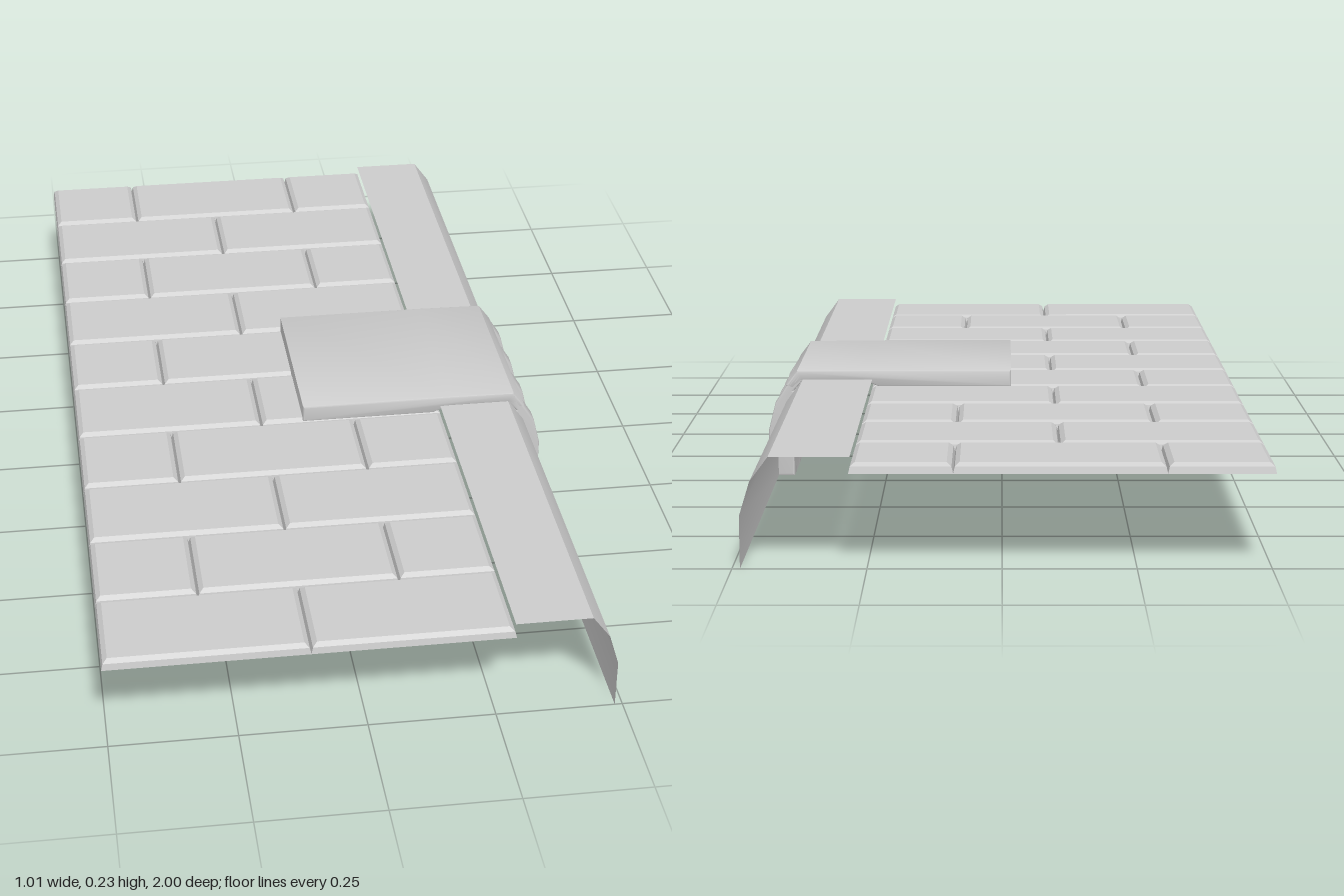
import * as THREE from 'three';
import { toCreasedNormals } from 'three/addons/utils/BufferGeometryUtils.js';

const material = new THREE.MeshStandardMaterial({ color: 0xcccccc, side: THREE.DoubleSide });

function addMesh(parent, name, geometry) {
  const mesh = new THREE.Mesh(geometry, material);
  mesh.name = name;
  parent.add(mesh);
  return mesh;
}

// Open-bottomed paving slab: stacked rectangles [inset, y] closed by a flat top
function slabGeometry(x0, x1, z0, z1) {
  const rings = [[0, 0.18], [0.003, 0.193], [0.012, 0.2]];
  const positions = [];
  const index = [];
  for (const [d, y] of rings) {
    positions.push(x0 + d, y, z1 - d, x1 - d, y, z1 - d, x1 - d, y, z0 + d, x0 + d, y, z0 + d);
  }
  for (let r = 0; r < rings.length - 1; r++) {
    for (let i = 0; i < 4; i++) {
      const a = r * 4 + i, b = r * 4 + (i + 1) % 4;
      index.push(a, b, b + 4, a, b + 4, a + 4);
    }
  }
  const t = (rings.length - 1) * 4;
  index.push(t, t + 1, t + 2, t, t + 2, t + 3);
  const geometry = new THREE.BufferGeometry();
  geometry.setAttribute('position', new THREE.Float32BufferAttribute(positions, 3));
  geometry.setIndex(index);
  return toCreasedNormals(geometry, 0.3);
}

// Thin sheet following an xy profile from z0 to z1
function sheetGeometry(profile, z0, z1) {
  const positions = [];
  const index = [];
  profile.forEach(([x, y], i) => {
    positions.push(x, y, z0, x, y, z1);
    if (i > 0) {
      const a = i * 2 - 2;
      index.push(a, a + 1, a + 3, a, a + 3, a + 2);
    }
  });
  const geometry = new THREE.BufferGeometry();
  geometry.setAttribute('position', new THREE.Float32BufferAttribute(positions, 3));
  geometry.setIndex(index);
  return toCreasedNormals(geometry, 0.6);
}

// Solid xy outline with slightly bevelled sides, from z0 to z1
function solidGeometry(outline, z0, z1, bevel) {
  const shape = new THREE.Shape(outline.map(([x, y]) => new THREE.Vector2(x, y)));
  const geometry = new THREE.ExtrudeGeometry(shape, {
    depth: z1 - z0 - 2 * bevel,
    bevelEnabled: bevel > 0,
    bevelThickness: bevel,
    bevelSize: bevel,
    bevelOffset: -bevel,
    bevelSegments: 2,
  });
  geometry.translate(0, 0, z0 + bevel);
  return toCreasedNormals(geometry, 0.5);
}

export function createModel() {
  const model = new THREE.Group();
  model.name = 'pavementWithDrain';

  // Pavement in running bond
  const pavement = new THREE.Group();
  pavement.name = 'pavement';
  model.add(pavement);
  for (let row = 0; row < 10; row++) {
    const z = -1 + row * 0.2;
    const joints = row % 2 ? [-0.505, -0.11, 0.283] : [-0.505, -0.305, 0.09, 0.283];
    for (let i = 0; i < joints.length - 1; i++) {
      addMesh(pavement, 'pavingSlab', slabGeometry(joints[i], joints[i + 1], z, z + 0.2));
    }
  }

  // Kerb on both sides of the drain
  const kerb = [[0.28, 0.212], [0.43, 0.212], [0.465, 0.165], [0.485, 0.1], [0.485, 0]];
  addMesh(model, 'kerbBack', sheetGeometry(kerb, -1, -0.195));
  addMesh(model, 'kerbFront', sheetGeometry(kerb, 0.195, 1));

  // Drain cover plate
  const drain = new THREE.Group();
  drain.name = 'drain';
  model.add(drain);
  const cover = [
    [-0.02, 0.196], [0.265, 0.196], [0.3, 0.21], [0.43, 0.21], [0.452, 0.19],
    [0.467, 0.198], [0.442, 0.231], [0.3, 0.233], [-0.02, 0.233],
  ];
  addMesh(drain, 'drainCover', solidGeometry(cover, -0.2, 0.2, 0.004));

  // Bars between the inlets
  const bar = [
    [0.45, 0], [0.505, 0], [0.505, 0.1], [0.49, 0.16], [0.46, 0.206],
    [0.442, 0.231], [0.43, 0.21], [0.45, 0.187], [0.42, 0.17], [0.45, 0.1],
  ];
  for (const z of [-0.18, -0.06, 0.06, 0.18]) {
    addMesh(drain, 'drainBar', solidGeometry(bar, z - 0.02, z + 0.02, 0.004));
  }

  // Recessed back of each inlet
  const recess = [[0.46, 0.195], [0.42, 0.17], [0.45, 0.1], [0.45, 0]];
  for (const z of [-0.12, 0, 0.12]) {
    addMesh(drain, 'inletBack', sheetGeometry(recess, z - 0.045, z + 0.045));
  }
  return model;
}
